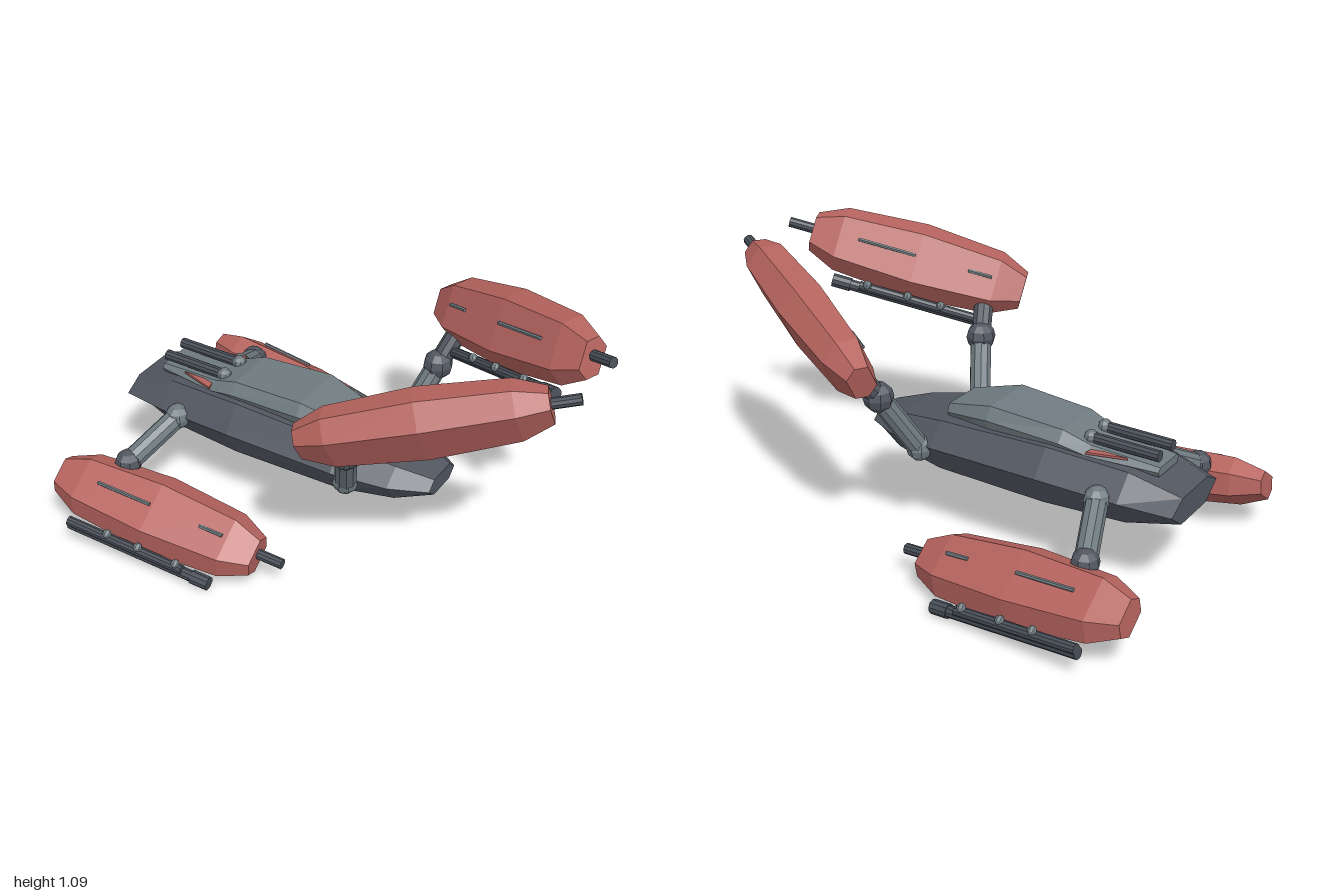
import * as THREE from 'three';

const material = (name, color) => {
  const m = new THREE.MeshStandardMaterial({ color });
  m.name = name;
  return m;
};

// Faceted normals
function flat(geo) {
  const g = geo.index ? geo.toNonIndexed() : geo;
  g.computeVertexNormals();
  return g;
}

// Closed skin over rings of points that run along x
function loft(rings) {
  const n = rings[0].length, pos = [];
  const tri = (...p) => p.forEach((v) => pos.push(...v));
  for (let i = 0; i < rings.length - 1; i++) {
    for (let j = 0; j < n; j++) {
      const k = (j + 1) % n, A = rings[i], B = rings[i + 1];
      tri(A[j], A[k], B[j]);
      tri(A[k], B[k], B[j]);
    }
  }
  const first = rings[0], last = rings[rings.length - 1];
  for (let j = 1; j < n - 1; j++) {
    tri(first[0], first[j + 1], first[j]);
    tri(last[0], last[j], last[j + 1]);
  }
  const g = new THREE.BufferGeometry();
  g.setAttribute('position', new THREE.Float32BufferAttribute(pos, 3));
  return flat(g);
}

// Six-sided section: bottom, middle and top heights with their half widths
const hexRing = ([x, yb, ym, yt, wb, wm, wt]) => [
  [x, yt, wt], [x, ym, wm], [x, yb, wb], [x, yb, -wb], [x, ym, -wm], [x, yt, -wt],
];

export function createModel() {
  const model = new THREE.Group();
  model.name = 'walker';
  const red = material('red armour', 0xb5635e);
  const dark = material('dark hull', 0x515660);
  const grey = material('grey metal', 0x6f7b80);
  const gunmetal = material('gunmetal', 0x484e57);

  const add = (parent, name, geo, mat) => {
    const m = new THREE.Mesh(geo, mat);
    m.name = name;
    parent.add(m);
    return m;
  };
  const rod = (parent, name, a, b, r, mat, sides = 10) => {
    const A = new THREE.Vector3(...a), B = new THREE.Vector3(...b);
    const d = B.clone().sub(A);
    const m = add(parent, name, flat(new THREE.CylinderGeometry(r, r, d.length(), sides)), mat);
    m.position.copy(A).add(B).multiplyScalar(0.5);
    m.quaternion.setFromUnitVectors(new THREE.Vector3(0, 1, 0), d.normalize());
    return m;
  };
  const ball = (parent, name, p, r, mat) => {
    add(parent, name, flat(new THREE.SphereGeometry(r, 8, 6)), mat).position.set(...p);
  };

  // Hull
  add(model, 'hull', loft([
    [-0.95, 0.335, 0.395, 0.44, 0.10, 0.18, 0.10],
    [-0.75, 0.305, 0.41, 0.50, 0.15, 0.22, 0.135],
    [-0.42, 0.30, 0.42, 0.52, 0.175, 0.238, 0.16],
    [0.05, 0.30, 0.41, 0.495, 0.165, 0.228, 0.15],
    [0.27, 0.312, 0.395, 0.455, 0.12, 0.18, 0.11],
    [0.41, 0.345, 0.38, 0.415, 0.06, 0.10, 0.06],
  ].map(hexRing)), dark);

  // Raised deck and canopy
  add(model, 'canopy', loft([
    [-0.84, 0.48, 0.50, 0.515, 0.07, 0.08, 0.065],
    [-0.57, 0.49, 0.51, 0.54, 0.11, 0.125, 0.09],
    [-0.46, 0.49, 0.535, 0.578, 0.12, 0.14, 0.105],
    [-0.15, 0.48, 0.545, 0.595, 0.12, 0.143, 0.115],
    [0.055, 0.47, 0.51, 0.542, 0.08, 0.10, 0.085],
  ].map(hexRing)), grey);

  for (const s of [1, -1]) {
    // Deck guns and red flashes
    rod(model, 'deckGun', [-0.83, 0.552, 0.052 * s], [-0.55, 0.552, 0.052 * s], 0.022, gunmetal);
    ball(model, 'deckGunMount', [-0.55, 0.552, 0.052 * s], 0.029, grey);
    const flash = new THREE.Shape([[-0.72, -0.09], [-0.57, -0.132], [-0.58, -0.09]]
      .map(([x, z]) => new THREE.Vector2(x, z * s)));
    const plate = add(model, 'redFlash',
      flat(new THREE.ExtrudeGeometry(flash, { depth: 0.009, bevelEnabled: false })), red);
    plate.rotation.x = -Math.PI / 2;
    plate.position.y = 0.521;
  }

  // Armoured pod on its own axes: x runs forward, y away from the gun
  const podStations = [[-0.445, 0.5], [-0.33, 0.84], [0, 1], [0.33, 0.85], [0.445, 0.52]];
  const podGeometry = loft(podStations.map(([x, k]) => [
    [0.1, 0.092], [0, 0], [-0.1, 0.092], [-0.155, 0], [-0.1, -0.092], [0.1, -0.092], [0.155, 0],
  ].filter(([u]) => u !== 0).map(([u, n]) => [x, u * k, n * k])));

  function pod(name, centre, axis, up, face, flip) {
    const g = new THREE.Group();
    g.name = name;
    const X = new THREE.Vector3(...axis).normalize();
    const Z = new THREE.Vector3().crossVectors(X, new THREE.Vector3(...up)).normalize();
    const Y = new THREE.Vector3().crossVectors(Z, X);
    g.quaternion.setFromRotationMatrix(new THREE.Matrix4().makeBasis(X, Y, Z));
    g.position.set(...centre);
    add(g, 'podShell', podGeometry, red);
    rod(g, 'podBarrel', [0.43, 0.01, 0], [0.55, 0.01, 0], 0.021, gunmetal);

    // Slim rails lying on the face
    const z = face * 0.091;
    rod(g, 'longRail', [-0.25 * flip, 0.01, z * 0.96], [-0.01 * flip, 0.01, z * 1.03], 0.008, grey, 6);
    rod(g, 'shortRail', [0.21 * flip, 0.01, z * 0.93], [0.31 * flip, 0.01, z * 0.9], 0.008, grey, 6);

    // Side gun with housing, muzzle and mounts
    rod(g, 'sideGun', [-0.32, -0.17, 0], [0.31, -0.17, 0], 0.023, gunmetal);
    rod(g, 'sideGunMuzzle', [0.24, -0.17, 0], [0.315, -0.17, 0], 0.028, gunmetal);
    rod(g, 'sideGunHousing', [-0.32, -0.165, face * 0.022], [0.2, -0.165, face * 0.022], 0.02, gunmetal);
    for (const x of [-0.14, 0, 0.17]) ball(g, 'gunMount', [x, -0.155, face * 0.04], 0.018, grey);
    model.add(g);
  }

  // Arms and pods, mirrored across z
  for (const s of [1, -1]) {
    const side = s > 0 ? 'Near' : 'Far';

    const frontHip = [0.11, 0.39, 0.21 * s], frontWrist = [0.195, 0.635, 0.347 * s];
    ball(model, 'frontHip', frontHip, 0.052, grey);
    rod(model, 'frontArm', frontHip, frontWrist, 0.043, grey);
    ball(model, 'frontWrist', frontWrist, 0.06, dark);
    rod(model, 'frontPodLink', frontWrist, [0.23, 0.74, 0.42 * s], 0.04, dark);
    pod('frontPod' + side, [0.507, 0.893, 0.355 * s], [0.874, 0.24, -0.42 * s],
      [0, 0.86, 0.5 * s], -s, -1);

    const rearHip = [-0.67, 0.405, 0.215 * s], rearWrist = [-0.755, 0.285, 0.44 * s];
    ball(model, 'rearHip', rearHip, 0.052, grey);
    rod(model, 'rearArm', rearHip, rearWrist, 0.043, grey);
    ball(model, 'rearWrist', rearWrist, 0.055, dark);
    pod('rearPod' + side, [-0.557, 0.163, 0.522 * s], [0.99, -0.105, -0.08 * s],
      [0, 0.6, -0.8 * s], s, 1);
  }
  return model;
}
